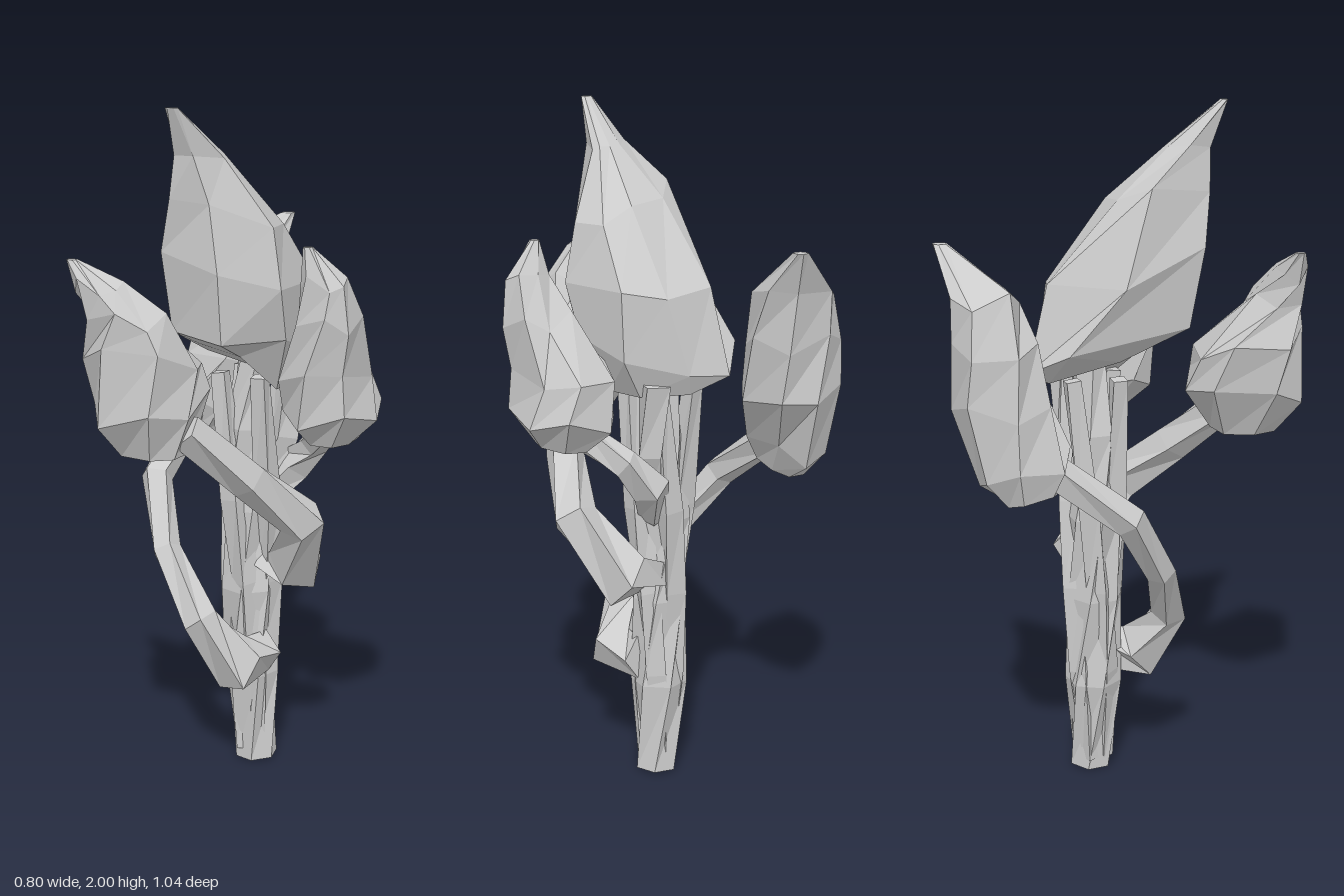
import * as THREE from 'three';

const material = new THREE.MeshStandardMaterial({ color: 0xcccccc, flatShading: true, side: THREE.DoubleSide });

// Faceted skin through a stack of rings, capped at both ends
function loft(name, rings) {
  const pos = [];
  const n = rings[0].length;
  const tri = (a, b, c) => { for (const p of [a, b, c]) pos.push(p.x, p.y, p.z); };
  const middle = ring => ring.reduce((s, p) => s.add(p), new THREE.Vector3()).divideScalar(n);
  const last = rings[rings.length - 1];
  const lowCap = middle(rings[0]), highCap = middle(last);
  for (let j = 0; j < n; j++) {
    const k = (j + 1) % n;
    for (let i = 0; i < rings.length - 1; i++) {
      tri(rings[i][j], rings[i][k], rings[i + 1][k]);
      tri(rings[i][j], rings[i + 1][k], rings[i + 1][j]);
    }
    tri(lowCap, rings[0][k], rings[0][j]);
    tri(highCap, last[j], last[k]);
  }
  const geometry = new THREE.BufferGeometry();
  geometry.setAttribute('position', new THREE.Float32BufferAttribute(pos, 3));
  geometry.computeVertexNormals();
  const mesh = new THREE.Mesh(geometry, material);
  mesh.name = name;
  return mesh;
}

// Flower bud: each level is [y, xMin, xMax, zMin, zMax, tilt], filled by a boxy ring
function bud(name, levels, phase, sides = 7) {
  const boxy = v => Math.sign(v) * Math.abs(v) ** 0.75;
  return loft(name, levels.map(([y, x0, x1, z0, z1, tilt = 0], i) => {
    const angles = Array.from({ length: sides }, (_, j) => phase + (j + i * 0.25) / sides * Math.PI * 2);
    const spread = (values, lo, hi) => {
      const min = Math.min(...values), max = Math.max(...values);
      return values.map(v => THREE.MathUtils.mapLinear(v, min, max, lo, hi));
    };
    const xs = spread(angles.map(a => boxy(Math.cos(a))), x0, x1);
    const zs = spread(angles.map(a => -boxy(Math.sin(a))), z0, z1);
    const rough = (i > 0 && i < levels.length - 1) ? 0.025 : 0;
    return angles.map((_, j) => new THREE.Vector3(
      xs[j],
      y + tilt * (zs[j] - (z0 + z1) / 2) + rough * Math.sin(j * 2.4 + i * 1.7),
      zs[j]));
  }));
}

// Angular stem: each point is [x, y, z, radius]
function stem(name, points, sides = 5, twist = 0.35) {
  const centres = points.map(p => new THREE.Vector3(p[0], p[1], p[2]));
  const u = new THREE.Vector3(1, 0, 0.3);
  return loft(name, points.map((p, i) => {
    const t = centres[Math.min(i + 1, centres.length - 1)].clone()
      .sub(centres[Math.max(i - 1, 0)]).normalize();
    u.addScaledVector(t, -u.dot(t)).normalize();
    const v = t.clone().cross(u);
    return Array.from({ length: sides }, (_, j) => {
      const a = j / sides * Math.PI * 2 + i * twist;
      return centres[i].clone()
        .addScaledVector(u, Math.cos(a) * p[3])
        .addScaledVector(v, Math.sin(a) * p[3]);
    });
  }));
}

export function createModel() {
  const model = new THREE.Group();
  model.name = 'budCluster';

  // Large central bud: irregular cross-sections leaning forward to the tip
  model.add(loft('centralBud', [
    [[0.09, 1.19, 0.02], [0.08, 1.19, -0.10], [-0.02, 1.20, -0.20], [-0.12, 1.22, -0.20], [-0.15, 1.28, 0.0], [-0.10, 1.33, 0.14], [0.03, 1.30, 0.13]],
    [[0.15, 1.35, 0.08], [0.14, 1.30, -0.10], [0.0, 1.26, -0.22], [-0.12, 1.25, -0.26], [-0.24, 1.32, -0.16], [-0.15, 1.37, 0.20], [0.03, 1.35, 0.24]],
    [[0.16, 1.50, 0.13], [0.15, 1.50, -0.10], [0.05, 1.48, -0.18], [-0.10, 1.50, -0.20], [-0.235, 1.50, 0.0], [-0.16, 1.60, 0.24], [0.03, 1.55, 0.26]],
    [[0.13, 1.67, 0.12], [0.11, 1.67, 0.02], [0.03, 1.72, -0.01], [-0.10, 1.73, 0.0], [-0.19, 1.77, 0.08], [-0.12, 1.75, 0.26], [0.0, 1.74, 0.25]],
    [[0.01, 1.86, 0.18], [0.0, 1.87, 0.16], [-0.03, 1.87, 0.15], [-0.07, 1.87, 0.15], [-0.13, 1.88, 0.20], [-0.10, 1.87, 0.265], [-0.04, 1.87, 0.265]],
    [[-0.06, 2, 0.31], [-0.065, 2, 0.30], [-0.075, 2, 0.30], [-0.09, 2, 0.30], [-0.10, 2, 0.31], [-0.09, 2, 0.315], [-0.07, 2, 0.315]],
  ].map(ring => ring.map(p => new THREE.Vector3(...p)))));

  // Front bud with a tip curling outward
  model.add(bud('frontBud', [
    [1.06, -0.20, -0.02, 0.28, 0.46],
    [1.19, -0.27, 0.02, 0.19, 0.52, -0.1],
    [1.33, -0.29, 0.02, 0.22, 0.52, 0.2],
    [1.45, -0.26, -0.04, 0.37, 0.52],
    [1.53, -0.29, -0.15, 0.43, 0.51],
    [1.60, -0.315, -0.285, 0.46, 0.485],
  ], 0.5));

  // Rear bud leaning backward
  model.add(bud('rearBud', [
    [0.95, -0.37, -0.27, -0.35, -0.20, 0.25],
    [1.03, -0.40, -0.23, -0.42, -0.17, 0.25],
    [1.20, -0.40, -0.14, -0.49, -0.22],
    [1.36, -0.39, -0.12, -0.49, -0.26],
    [1.50, -0.35, -0.11, -0.49, -0.30],
    [1.63, -0.16, -0.12, -0.52, -0.48],
  ], 0.1));

  // Left bud with a narrow upright tip
  model.add(bud('leftBud', [
    [1.06, 0.21, 0.33, -0.08, 0.10],
    [1.14, 0.15, 0.40, -0.14, 0.17],
    [1.27, 0.14, 0.37, -0.12, 0.19],
    [1.42, 0.20, 0.375, 0.01, 0.19],
    [1.53, 0.23, 0.36, 0.09, 0.18],
    [1.63, 0.24, 0.265, 0.14, 0.165],
  ], 0.7));

  // Trunk core
  model.add(stem('trunk', [
    [-0.02, 0.0, -0.065, 0.065],
    [-0.035, 0.28, -0.06, 0.085],
    [-0.04, 0.55, -0.055, 0.085],
    [-0.05, 0.80, -0.06, 0.08],
    [-0.05, 1.05, -0.055, 0.065],
    [-0.03, 1.26, -0.07, 0.05],
  ], 6, 0.5));

  // Fibres winding up around the trunk and spreading at the top
  const fibreLevels = [[0.03, 0.035, 0.025], [0.32, 0.045, 0.042], [0.58, 0.055, 0.042], [0.84, 0.07, 0.042], [1.22, 0.095, 0.03]];
  for (let k = 0; k < 4; k++) {
    model.add(stem('trunkFibre', fibreLevels.map(([y, r, width], i) => {
      const a = k * Math.PI / 2 + 0.4 + i * 0.5;
      return [-0.035 + Math.cos(a) * r, y, -0.06 + Math.sin(a) * r, width];
    }), 4, 0.3));
  }

  // Stem swinging forward and then back to the rear bud
  model.add(stem('rearBudStem', [
    [0.01, 0.36, -0.04, 0.07],
    [0.0, 0.35, 0.09, 0.09],
    [-0.09, 0.50, 0.16, 0.055],
    [-0.24, 0.68, 0.10, 0.045],
    [-0.335, 0.87, -0.01, 0.05],
    [-0.33, 1.02, -0.22, 0.05],
  ]));

  // Stem elbowing out to the left and up to the front bud
  model.add(stem('frontBudStem', [
    [-0.01, 0.64, -0.07, 0.06],
    [0.11, 0.64, -0.07, 0.09],
    [0.195, 0.82, 0.06, 0.07],
    [0.10, 0.97, 0.21, 0.06],
    [-0.02, 1.13, 0.36, 0.055],
  ]));

  // Short stem elbowing backward to the left bud
  model.add(stem('leftBudStem', [
    [0.0, 0.82, -0.07, 0.045],
    [0.07, 0.93, -0.13, 0.06],
    [0.15, 1.01, -0.11, 0.045],
    [0.24, 1.10, -0.01, 0.045],
  ]));

  // Side shoot propping the back of the central bud
  model.add(stem('sideShoot', [
    [0.0, 0.86, -0.08, 0.04],
    [0.05, 1.02, -0.11, 0.045],
    [0.05, 1.23, -0.13, 0.05],
  ], 4));

  return model;
}
